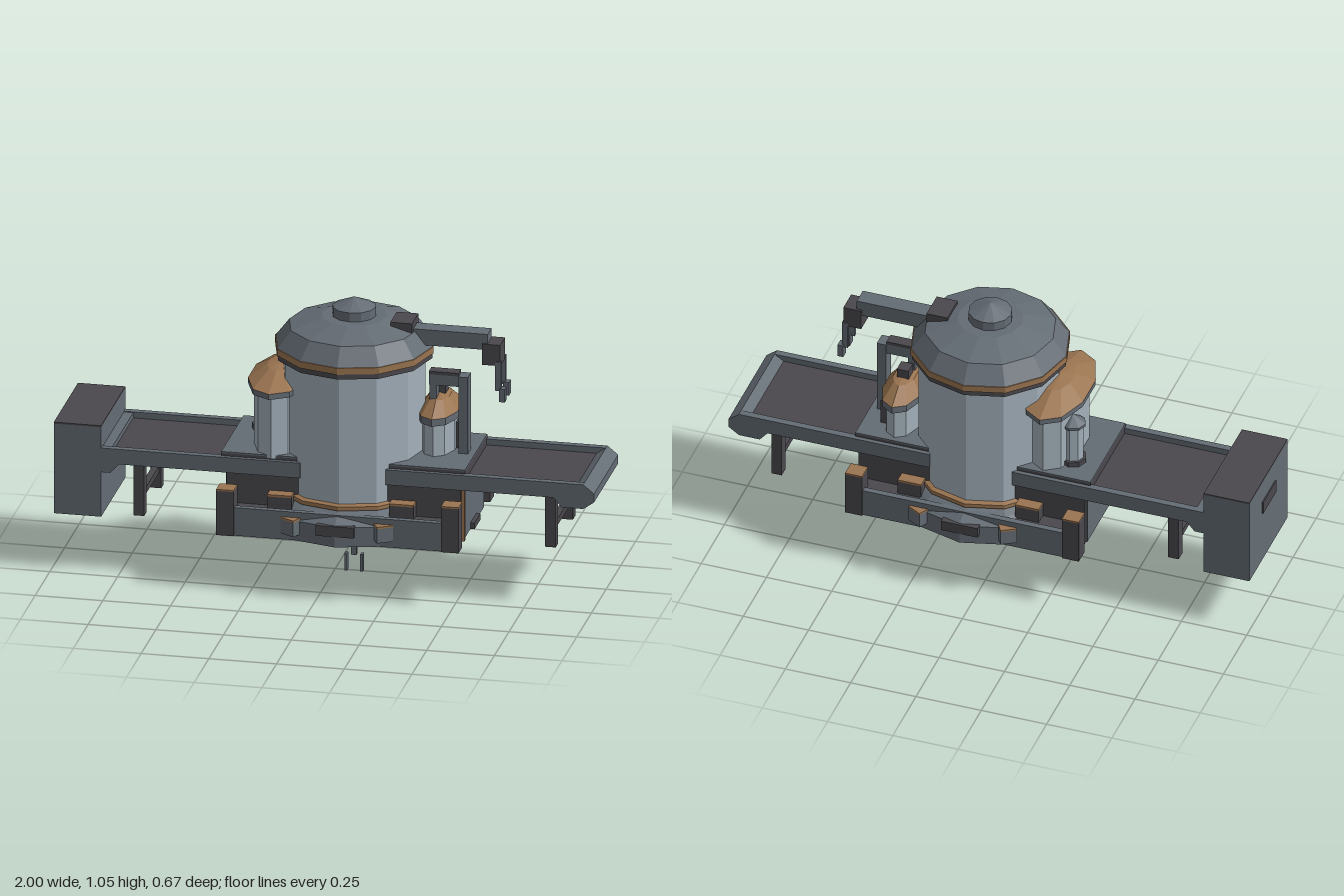
import * as THREE from 'three';

const mat = (name, color) => {
  const m = new THREE.MeshStandardMaterial({ color });
  m.name = name;
  return m;
};

export function createModel() {
  const root = new THREE.Group();
  const steel = mat('steel grey', 0x646c74);
  const dark = mat('dark grey', 0x4a484d);
  const pale = mat('pale metal', 0xa3b0ba);
  const bronze = mat('bronze', 0x9a7450);
  const black = mat('black', 0x303034);
  const gold = mat('dark gold', 0x8c6a2c);
  const CX = 0.07; // tank axis

  const add = (name, geo, m, x = 0, y = 0, z = 0) => {
    const mesh = new THREE.Mesh(geo, m);
    mesh.name = name;
    mesh.position.set(x, y, z);
    root.add(mesh);
    return mesh;
  };
  // Box given by its limits on each axis
  const box = (name, m, x0, x1, y0, y1, z0, z1) =>
    add(name, new THREE.BoxGeometry(x1 - x0, y1 - y0, z1 - z0), m, (x0 + x1) / 2, (y0 + y1) / 2, (z0 + z1) / 2);
  // Same box on both sides of z = 0
  const pair = (name, m, x0, x1, y0, y1, z0, z1) => {
    box(name, m, x0, x1, y0, y1, z0, z1);
    box(name, m, x0, x1, y0, y1, -z1, -z0);
  };
  // Faceted turned part; profile is [radius, y] from bottom to top
  const turned = (name, m, profile, x, z = 0, sides = 12, sx = 1, sz = 1) => {
    const geo = new THREE.LatheGeometry(profile.map(p => new THREE.Vector2(p[0], p[1])), sides)
      .scale(sx, 1, sz).toNonIndexed();
    geo.computeVertexNormals();
    return add(name, geo, m, x, 0, z);
  };
  // Side profile in x/y extruded between two z values
  const slab = (name, m, pts, z0, z1) =>
    add(name, new THREE.ExtrudeGeometry(new THREE.Shape(pts.map(p => new THREE.Vector2(p[0], p[1]))),
      { depth: z1 - z0, bevelEnabled: false }), m, 0, 0, z0);

  // Main tank and domed roof
  turned('tank', pale, [[0.263, 0.33], [0.263, 0.85]], CX);
  turned('tankFootRing', bronze, [[0.26, 0.33], [0.28, 0.33], [0.28, 0.345], [0.26, 0.352]], CX);
  turned('roofRim', dark, [[0.25, 0.84], [0.288, 0.84], [0.288, 0.862]], CX);
  turned('roofBand', bronze, [[0.28, 0.86], [0.293, 0.86], [0.293, 0.885], [0.28, 0.886]], CX);
  turned('roof', steel, [[0.29, 0.885], [0.24, 0.95], [0.12, 0.985], [0, 0.987]], CX);
  turned('roofKnob', steel, [[0.08, 0.98], [0.08, 1.02], [0, 1.055]], CX);

  // Crane on the roof
  box('craneMount', dark, 0.215, 0.295, 0.95, 0.987, -0.055, 0.055);
  box('craneArm', steel, 0.27, 0.57, 0.9, 0.96, -0.033, 0.033);
  box('craneHead', dark, 0.55, 0.618, 0.845, 0.925, -0.042, 0.042);
  pair('craneFinger', steel, 0.6, 0.622, 0.75, 0.86, 0.03, 0.045);
  pair('craneClaw', steel, 0.615, 0.637, 0.71, 0.76, 0.02, 0.052);

  // Oval silos against the tank
  turned('largeSiloBody', pale, [[0.1, 0.48], [0.1, 0.73]], -0.195, 0.01, 10, 0.95, 1.9);
  turned('largeSiloRim', steel, [[0.095, 0.72], [0.115, 0.72], [0.115, 0.742]], -0.195, 0.01, 10, 1, 1.95);
  turned('largeSiloCap', bronze, [[0.116, 0.742], [0.05, 0.785], [0, 0.797]], -0.195, 0.01, 10, 1, 1.95);
  turned('smallSiloBody', pale, [[0.065, 0.48], [0.065, 0.62]], 0.378, -0.045, 10, 1, 1.95);
  turned('smallSiloRim', steel, [[0.06, 0.615], [0.077, 0.615], [0.077, 0.642]], 0.378, -0.045, 10, 1, 1.95);
  turned('smallSiloCap', bronze, [[0.077, 0.642], [0.04, 0.69], [0, 0.702]], 0.378, -0.045, 10, 1, 1.95);
  box('smallSiloVent', dark, 0.355, 0.4, 0.69, 0.73, -0.08, -0.03);
  box('smallSiloPanel', dark, 0.41, 0.455, 0.49, 0.59, -0.1, -0.025);
  turned('canisterBase', dark, [[0.05, 0.485], [0.05, 0.51], [0, 0.511]], -0.275, -0.08, 8);
  turned('canister', pale, [[0.04, 0.51], [0.04, 0.655]], -0.275, -0.08, 8);
  turned('canisterCap', steel, [[0.035, 0.652], [0.048, 0.652], [0.048, 0.662], [0, 0.695]], -0.275, -0.08, 8);

  // Bent pipe beside the small silo
  box('pipePost', steel, 0.46, 0.495, 0.485, 0.785, -0.027, 0.027);
  box('pipeArm', steel, 0.35, 0.46, 0.745, 0.785, -0.022, 0.022);
  box('pipeTop', dark, 0.35, 0.46, 0.785, 0.797, -0.022, 0.022);
  box('pipeDrop', steel, 0.352, 0.378, 0.68, 0.745, -0.02, 0.02);

  // Base: core, side steps, rails and corner posts
  box('baseCore', steel, -0.365, 0.51, 0.212, 0.425, -0.18, 0.18);
  pair('baseSideWall', dark, -0.36, 0.505, 0.212, 0.42, 0.18, 0.195);
  pair('baseStep', dark, -0.35, 0.495, 0.215, 0.3, 0.195, 0.27);
  pair('baseRail', steel, -0.31, 0.46, 0.21, 0.318, 0.27, 0.293);
  for (const x of [-0.375, 0.455]) {
    pair('cornerPost', dark, x, x + 0.065, 0.21, 0.38, 0.237, 0.3);
    pair('cornerPostCap', bronze, x, x + 0.065, 0.38, 0.386, 0.237, 0.3);
  }
  box('edgeStrip', bronze, 0.505, 0.516, 0.212, 0.41, 0.165, 0.182);
  box('endHatch', dark, 0.5, 0.525, 0.212, 0.236, -0.05, 0.05);
  box('probeRod', steel, 0.5, 0.655, 0.349, 0.361, -0.006, 0.006);
  for (const x of [-0.2, 0.25]) {
    pair('footPadBlock', dark, x, x + 0.09, 0.3, 0.35, 0.17, 0.24);
    pair('footPad', bronze, x, x + 0.09, 0.35, 0.358, 0.17, 0.24);
  }

  // Collar around the base with small clamps
  turned('collar', steel, [[0.23, 0.207], [0.335, 0.21], [0.335, 0.285], [0.3, 0.31], [0.26, 0.33]], CX);
  for (const a of [-1, 1, 5, 7]) {
    const t = a * Math.PI / 6;
    const clamp = new THREE.Group();
    clamp.name = 'collarClamp';
    clamp.position.set(CX, 0, 0);
    clamp.rotation.y = t;
    const body = box('clampBody', steel, -0.03, 0.03, 0.235, 0.29, 0.27, 0.362);
    const top = box('clampTop', bronze, -0.03, 0.03, 0.29, 0.297, 0.27, 0.362);
    clamp.add(body, top);
    root.add(clamp);
  }
  pair('collarPanel', dark, 0, 0.14, 0.25, 0.29, 0.3, 0.336);

  // Shallow bowl, drill shaft and prongs underneath
  turned('bowl', black, [[0, 0.16], [0.105, 0.16], [0.19, 0.193]], CX, 0, 20);
  turned('bowlRing', gold, [[0.19, 0.193], [0.235, 0.21]], CX, 0, 20);
  turned('shaftDisc', gold, [[0, 0.148], [0.048, 0.151], [0, 0.155]], CX);
  box('shaft', steel, CX - 0.01, CX + 0.01, 0.062, 0.165, -0.01, 0.01);
  for (const s of [-1, 1]) {
    const x = CX + s * 0.029;
    box('prong', steel, x - 0.005, x + 0.005, 0, 0.066, -0.01, 0.01);
  }

  // Conveyors: side frames, belt, deck plate and legs
  const rightSide = [[0.23, 0.417], [0.85, 0.417], [0.88, 0.382], [0.96, 0.382], [1, 0.41], [1, 0.443], [0.96, 0.475], [0.23, 0.475]];
  const leftSide = [[-0.83, 0.382], [-0.785, 0.382], [-0.755, 0.417], [-0.085, 0.417], [-0.085, 0.475], [-0.83, 0.475]];
  for (const pts of [rightSide, leftSide]) {
    slab('conveyorSide', steel, pts, 0.18, 0.206);
    slab('conveyorSide', steel, pts, -0.206, -0.18);
  }
  slab('conveyorNose', steel, [[0.88, 0.382], [0.96, 0.382], [1, 0.41], [1, 0.443], [0.96, 0.475], [0.93, 0.455], [0.87, 0.41]], -0.18, 0.18);
  box('conveyorEnd', steel, -0.83, -0.785, 0.385, 0.472, -0.18, 0.18);
  for (const [x0, x1] of [[0.3, 0.93], [-0.785, -0.2]]) {
    box('belt', dark, x0, x1, 0.435, 0.452, -0.18, 0.18);
    box('beltUnderside', black, x0, x1, 0.42, 0.435, -0.18, 0.18);
  }
  for (const [x0, x1] of [[-0.38, -0.1], [0.24, 0.52]]) {
    box('deck', dark, x0, x1, 0.45, 0.485, -0.19, 0.19);
    box('deckTop', steel, x0, x1, 0.485, 0.491, -0.19, 0.19);
  }
  for (const x of [0.81, -0.71]) {
    pair('conveyorLeg', dark, x, x + 0.04, 0.21, 0.42, 0.125, 0.166);
    box('legBrace', dark, x + 0.008, x + 0.032, 0.27, 0.295, -0.125, 0.125);
  }

  // Loading cabinet at the far end
  box('cabinet', steel, -0.995, -0.82, 0.21, 0.555, -0.206, 0.206);
  box('cabinetTop', dark, -0.995, -0.82, 0.555, 0.561, -0.206, 0.206);
  box('cabinetSlot', dark, -1, -0.994, 0.42, 0.47, -0.07, 0.07);

  return root;
}
